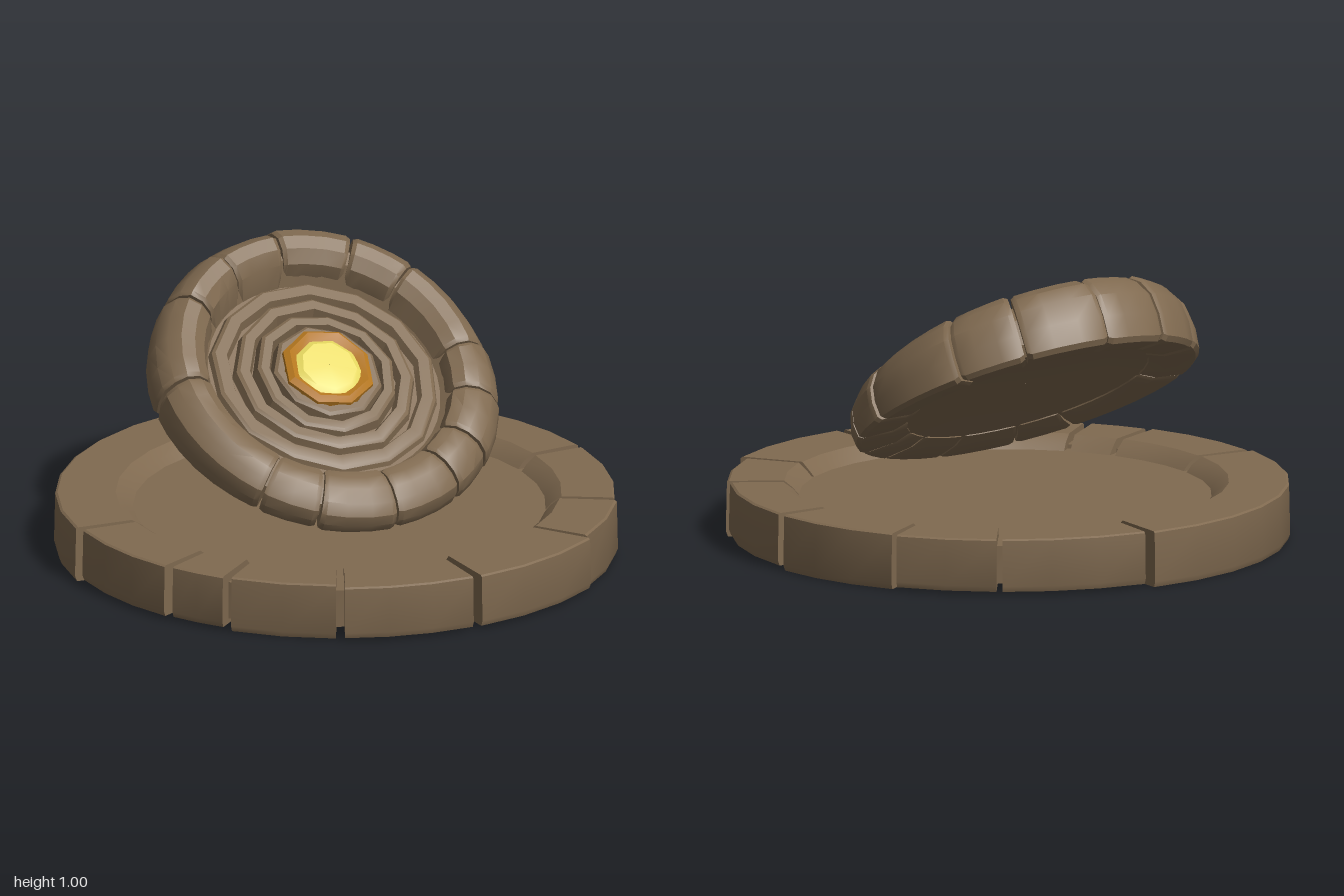
import * as THREE from 'three';
import { toCreasedNormals } from 'three/addons/utils/BufferGeometryUtils.js';

const RAD = Math.PI / 180;

// small seeded noise in -1..1
let seed = 7;
const noise = () => {
  seed = (seed * 16807) % 2147483647;
  return (seed / 2147483647) * 2 - 1;
};

// Sweeps a counterclockwise (radius, height) section around the local z axis.
// taper makes the part thicker toward local +y; shrink bevels the two ends.
function sweep(section, from, to, steps, { taper = 0, shrink = 1, wobble = 0 } = {}) {
  const closed = to - from >= 360;
  const n = section.length;
  const mid = section.reduce((m, p) => [m[0] + p[0] / n, m[1] + p[1] / n], [0, 0]);
  const stations = [];
  const count = closed ? steps : steps + 1;
  const angles = [];
  for (let j = 0; j < count; j++) angles.push(from + ((to - from) * j) / steps);
  if (shrink < 1) {
    angles.splice(1, 0, from + 1.6);
    angles.splice(angles.length - 1, 0, to - 1.6);
  }
  angles.forEach((deg, j) => {
    const end = !closed && (j === 0 || j === angles.length - 1);
    const s = end ? shrink : 1;
    const w = 1 + wobble * noise();
    const a = deg * RAD;
    stations.push(section.map(([r, h]) => {
      const rr = (mid[0] + (r - mid[0]) * s) * w;
      const hh = mid[1] + (h - mid[1]) * s;
      const x = rr * Math.cos(a), y = rr * Math.sin(a);
      return [x, y, hh * (1 + taper * y)];
    }));
  });
  const pos = stations.flat(2);
  const index = [];
  const rows = stations.length;
  for (let j = 0; j < (closed ? rows : rows - 1); j++) {
    const k = (j + 1) % rows;
    for (let i = 0; i < n; i++) {
      const m = (i + 1) % n;
      const a = j * n + i, b = k * n + i, c = k * n + m, d = j * n + m;
      index.push(a, b, c, a, c, d);
    }
  }
  if (!closed) {
    const outline = section.map(([r, h]) => new THREE.Vector2(r, h));
    const last = (rows - 1) * n;
    for (const [a, b, c] of THREE.ShapeUtils.triangulateShape(outline, [])) {
      index.push(a, b, c, last + a, last + c, last + b);
    }
  }
  const geometry = new THREE.BufferGeometry();
  geometry.setAttribute('position', new THREE.Float32BufferAttribute(pos, 3));
  geometry.setIndex(index);
  return toCreasedNormals(geometry, 0.5);
}

export function createModel() {
  const stone = new THREE.MeshStandardMaterial({ name: 'brown stone', color: 0x806a50 });
  const amber = new THREE.MeshStandardMaterial({ name: 'amber', color: 0xb97a20 });
  const yellow = new THREE.MeshStandardMaterial({ name: 'yellow', color: 0xe6d860 });

  const model = new THREE.Group();
  model.name = 'tiltedStoneDisc';
  const add = (parent, name, geometry, material = stone) => {
    const mesh = new THREE.Mesh(geometry, material);
    mesh.name = name;
    parent.add(mesh);
    return mesh;
  };

  // ---- round base, lying flat ----
  const base = new THREE.Group();
  base.name = 'base';
  base.rotation.x = -Math.PI / 2;
  model.add(base);

  // floor slab and the core behind the block joints
  add(base, 'baseFloor', sweep(
    [[0.002, 0.035], [0.78, 0.035], [0.8, 0.05], [0.78, 0.15], [0.002, 0.15]], 0, 360, 40));
  add(base, 'baseCore', sweep(
    [[0.76, 0.03], [0.925, 0.03], [0.925, 0.165], [0.77, 0.165]], 0, 360, 40));

  // outer blocks: [joint angle, outer radius of the block that follows]
  const baseJoints = [
    [3, 0.97], [34, 0.985], [56, 0.985], [88, 1.0], [177, 0.985], [206, 0.975],
    [220, 0.97], [244, 1.0], [273, 1.005], [306, 0.98], [329, 0.97], [363, 0],
  ];
  for (let i = 0; i < baseJoints.length - 1; i++) {
    const [a0, R] = baseJoints[i];
    const a1 = baseJoints[i + 1][0];
    const low = i % 3 === 0 ? 0 : 0.012;
    const inner = 0.775 + 0.012 * noise();
    const section = [
      [0.775, low + 0.012], [0.81, low], [R - 0.008, low], [R, low + 0.02],
      [R - 0.004, 0.195], [R - 0.012, 0.2], [inner, 0.2], [0.745, 0.175], [0.715, 0.14],
    ];
    const gap = 0.75 + 0.3 * noise();
    add(base, 'baseBlock', sweep(section, a0 + gap, a1 - gap, Math.max(2, Math.round((a1 - a0) / 11))));
  }

  // ---- leaning disc ----
  const disc = new THREE.Group();
  disc.name = 'leaningDisc';
  disc.position.set(-0.025, 0.505, -0.12);
  disc.rotation.x = -60.5 * RAD;
  model.add(disc);
  const taper = 0.65;

  // dished core, recessed on both sides
  add(disc, 'discCore', sweep([
    [0.002, 0.06], [0.3, 0.055], [0.44, 0.03], [0.56, 0.02], [0.585, 0.05], [0.575, 0.12],
    [0.53, 0.165], [0.47, 0.165], [0.42, 0.1], [0.002, 0.1],
  ], 0, 360, 40, { taper }));

  // rounded rim stones
  const rimJoints = [-1, 37, 60, 89, 114, 138, 176, 226, 246, 273, 299, 316, 338, 359];
  for (let i = 0; i < rimJoints.length - 1; i++) {
    const a0 = rimJoints[i], a1 = rimJoints[i + 1];
    const d = 0.008 * noise(), h = 0.006 * noise();
    const section = [
      [0.44, 0.025], [0.5, 0.004], [0.605 + d, 0], [0.622 + d, 0.012], [0.628 + d, 0.07],
      [0.618 + d, 0.13], [0.585 + d, 0.175 + h], [0.54, 0.2 + h], [0.49, 0.197 + h],
      [0.45, 0.17 + h], [0.425 + d, 0.1],
    ];
    add(disc, 'rimStone', sweep(section, a0 + 0.5, a1 - 0.5,
      Math.max(2, Math.round((a1 - a0) / 9)), { taper, shrink: 0.93 }));
  }

  // concentric rough rings: [inner radius, outer radius, top height, sides]
  const rings = [
    [0.345, 0.405, 0.128, 14], [0.27, 0.325, 0.138, 12], [0.205, 0.255, 0.148, 11], [0.15, 0.195, 0.156, 9],
  ];
  rings.forEach(([r0, r1, top, sides], i) => {
    add(disc, 'carvedRing', sweep([
      [r0 - 0.008, 0.09], [r1 + 0.012, 0.09], [r1, top - 0.008], [r1 - 0.012, top], [r0 + 0.008, top],
    ], i * 17, i * 17 + 360, sides, { taper, wobble: 0.022 }));
  });

  // amber setting around the centre
  add(disc, 'amberSetting', sweep([
    [0.1, 0.1], [0.172, 0.1], [0.165, 0.168], [0.145, 0.184], [0.115, 0.165],
  ], 10, 370, 8, { taper, wobble: 0.04 }), amber);

  // pale centre gem
  add(disc, 'centreGem', sweep([
    [0.002, 0.11], [0.122, 0.11], [0.122, 0.168], [0.1, 0.181], [0.002, 0.184],
  ], 22, 382, 9, { taper, wobble: 0.02 }), yellow);

  return model;
}
